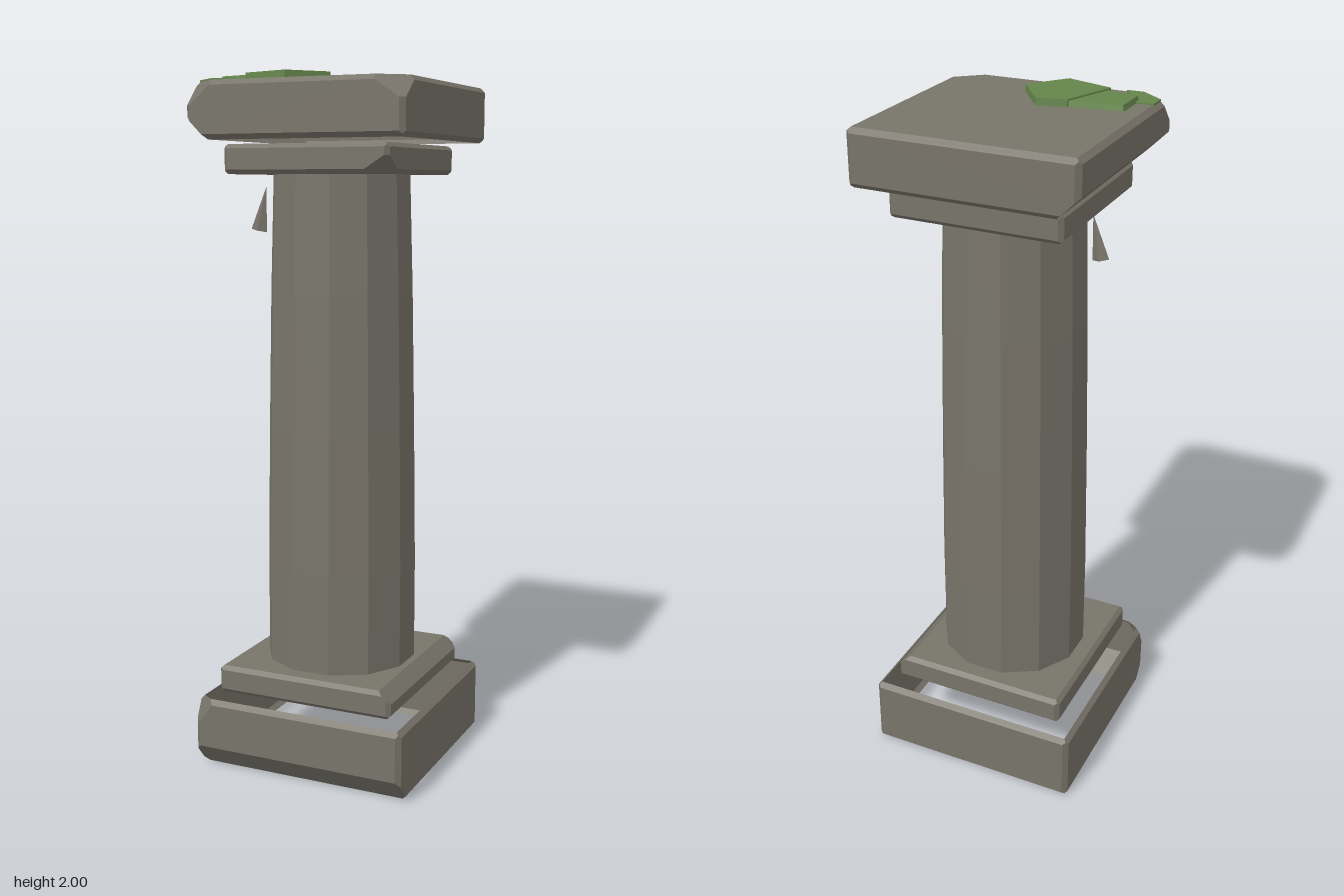
import * as THREE from 'three';

const V = (x, y, z) => new THREE.Vector3(x, y, z);
const stone = new THREE.MeshStandardMaterial({ color: 0x78746a, side: THREE.DoubleSide, flatShading: true });
stone.name = 'weathered stone';
const moss = new THREE.MeshStandardMaterial({ color: 0x65854b, flatShading: true });
moss.name = 'moss green';

// Convex block: a box with small edge bevels and chips cut by planes through three points.
// Sides listed in open ('top', 'bottom') get no face.
function blockGeometry(h, y0, y1, bevel, chips, open) {
  const half = [h, (y1 - y0) / 2, h], c = V(0, (y0 + y1) / 2, 0), planes = [];
  const add = (n, d, skip = false) => planes.push({ n, d, skip });
  for (let a = 0; a < 3; a++) for (const s of [1, -1]) {
    const n = V(0, 0, 0).setComponent(a, s);
    add(n, half[a], a === 1 && open.includes(s > 0 ? 'top' : 'bottom'));
    const b = (a + 1) % 3;
    for (const t of [1, -1]) {
      const e = n.clone().setComponent(b, t).normalize();
      add(e, (half[a] + half[b] - bevel) / Math.SQRT2);
    }
  }
  for (const pts of chips) {
    const p = pts.map(q => V(...q).sub(c));
    const n = p[1].clone().sub(p[0]).cross(p[2].clone().sub(p[0])).normalize();
    if (n.dot(p[0]) < 0) n.negate();
    add(n, n.dot(p[0]));
  }
  // corner points of the solid, collected on each plane
  const on = planes.map(() => []), N = planes.length, m = new THREE.Matrix3();
  for (let i = 0; i < N; i++) for (let j = i + 1; j < N; j++) for (let k = j + 1; k < N; k++) {
    const [p, q, r] = [planes[i], planes[j], planes[k]];
    m.set(p.n.x, p.n.y, p.n.z, q.n.x, q.n.y, q.n.z, r.n.x, r.n.y, r.n.z);
    if (Math.abs(m.determinant()) < 1e-5) continue;
    const v = V(p.d, q.d, r.d).applyMatrix3(m.invert());
    if (planes.some(o => o.n.dot(v) > o.d + 1e-6)) continue;
    for (const f of [i, j, k]) if (!on[f].some(w => w.distanceTo(v) < 1e-5)) on[f].push(v);
  }
  // sort each face around its normal and fan it
  const pos = [];
  planes.forEach(({ n, skip }, f) => {
    const pts = on[f];
    if (skip || pts.length < 3) return;
    const mid = pts.reduce((s, p) => s.add(p), V(0, 0, 0)).divideScalar(pts.length);
    const u = pts[0].clone().sub(mid).normalize(), w = n.clone().cross(u);
    const ang = p => { const d = p.clone().sub(mid); return Math.atan2(d.dot(w), d.dot(u)); };
    pts.sort((a, b) => ang(a) - ang(b));
    for (let i = 1; i < pts.length - 1; i++)
      for (const p of [pts[0], pts[i], pts[i + 1]]) pos.push(p.x, p.y + c.y, p.z);
  });
  const g = new THREE.BufferGeometry();
  g.setAttribute('position', new THREE.Float32BufferAttribute(pos, 3));
  g.computeVertexNormals();
  return g;
}

// Flat clump from an (x, z) outline, spreading slightly towards its foot
function clumpGeometry(outline, y, height, spread) {
  const shape = new THREE.Shape(outline.map(([x, z]) => new THREE.Vector2(x, -z)));
  const g = new THREE.ExtrudeGeometry(shape, { depth: height, bevelEnabled: false });
  g.rotateX(-Math.PI / 2);
  g.computeBoundingBox();
  const c = g.boundingBox.getCenter(V(0, 0, 0)), p = g.attributes.position;
  for (let i = 0; i < p.count; i++) if (p.getY(i) < height / 2) {
    p.setX(i, c.x + (p.getX(i) - c.x) * spread);
    p.setZ(i, c.z + (p.getZ(i) - c.z) * spread);
  }
  g.translate(0, y, 0);
  g.computeVertexNormals();
  return g;
}

export function createModel() {
  const group = new THREE.Group();
  const add = (name, geometry, material) => {
    const mesh = new THREE.Mesh(geometry, material);
    mesh.name = name;
    group.add(mesh);
    return mesh;
  };

  // base: hollow block with a worn front lower edge and a chipped upper corner
  add('plinth', blockGeometry(0.325, 0, 0.215, 0.014, [
    [[-0.3, 0.07, 0.325], [0.3, 0.07, 0.325], [0, 0, 0.265]],
    [[-0.325, 0.12, 0.325], [-0.26, 0.215, 0.325], [-0.325, 0.215, 0.28]],
  ], ['top', 'bottom']), stone);

  // second step with its left upper edge worn off
  add('baseStep', blockGeometry(0.272, 0.225, 0.306, 0.012, [
    [[0.272, 0.27, -0.2], [0.272, 0.27, 0.2], [0.235, 0.306, 0]],
  ], ['bottom']), stone);

  // twelve-sided shaft, narrowing upwards
  const profile = [[0.222, 0.3], [0.222, 0.6], [0.216, 1.0], [0.208, 1.4], [0.198, 1.74]];
  const shaft = new THREE.LatheGeometry(profile.map(p => new THREE.Vector2(...p)), 12, Math.PI / 12);
  add('shaft', shaft, stone);

  // splinter standing off the shaft
  const shard = new THREE.ConeGeometry(0.025, 0.13, 4);
  shard.scale(1, 1, 0.6);
  shard.rotateZ(-0.2);
  add('shaftSplinter', shard, stone).position.set(-0.207, 1.635, 0.09);

  // capital with a chipped lower front corner
  add('capital', blockGeometry(0.248, 1.73, 1.812, 0.012, [
    [[0.16, 1.73, 0.248], [0.248, 1.73, 0.16], [0.248, 1.785, 0.248]],
  ], ['top']), stone);

  // top slab with a worn lower edge and chipped front corners
  add('topSlab', blockGeometry(0.322, 1.822, 1.98, 0.014, [
    [[-0.322, 1.885, -0.2], [-0.322, 1.885, 0.2], [-0.258, 1.822, 0]],
    [[0.22, 1.98, 0.322], [0.322, 1.98, 0.235], [0.322, 1.91, 0.322]],
    [[-0.23, 1.98, 0.322], [-0.322, 1.98, 0.245], [-0.322, 1.9, 0.322]],
  ], ['bottom']), stone);

  // moss on the top slab
  add('mossLarge', clumpGeometry(
    [[0.055, 0.19], [-0.028, 0.298], [-0.17, 0.252], [-0.11, 0.09], [-0.028, 0.072]], 1.975, 0.025, 1.02), moss);
  add('mossSmall', clumpGeometry(
    [[-0.1, 0.095], [-0.14, 0.245], [-0.18, 0.242], [-0.258, 0.222], [-0.258, 0.114]], 1.975, 0.02, 1.07), moss);
  add('mossCorner', clumpGeometry(
    [[-0.312, 0.2], [-0.312, 0.254], [-0.245, 0.308], [-0.195, 0.308], [-0.228, 0.25], [-0.25, 0.2]], 1.978, 0.006, 1), moss);

  return group;
}
